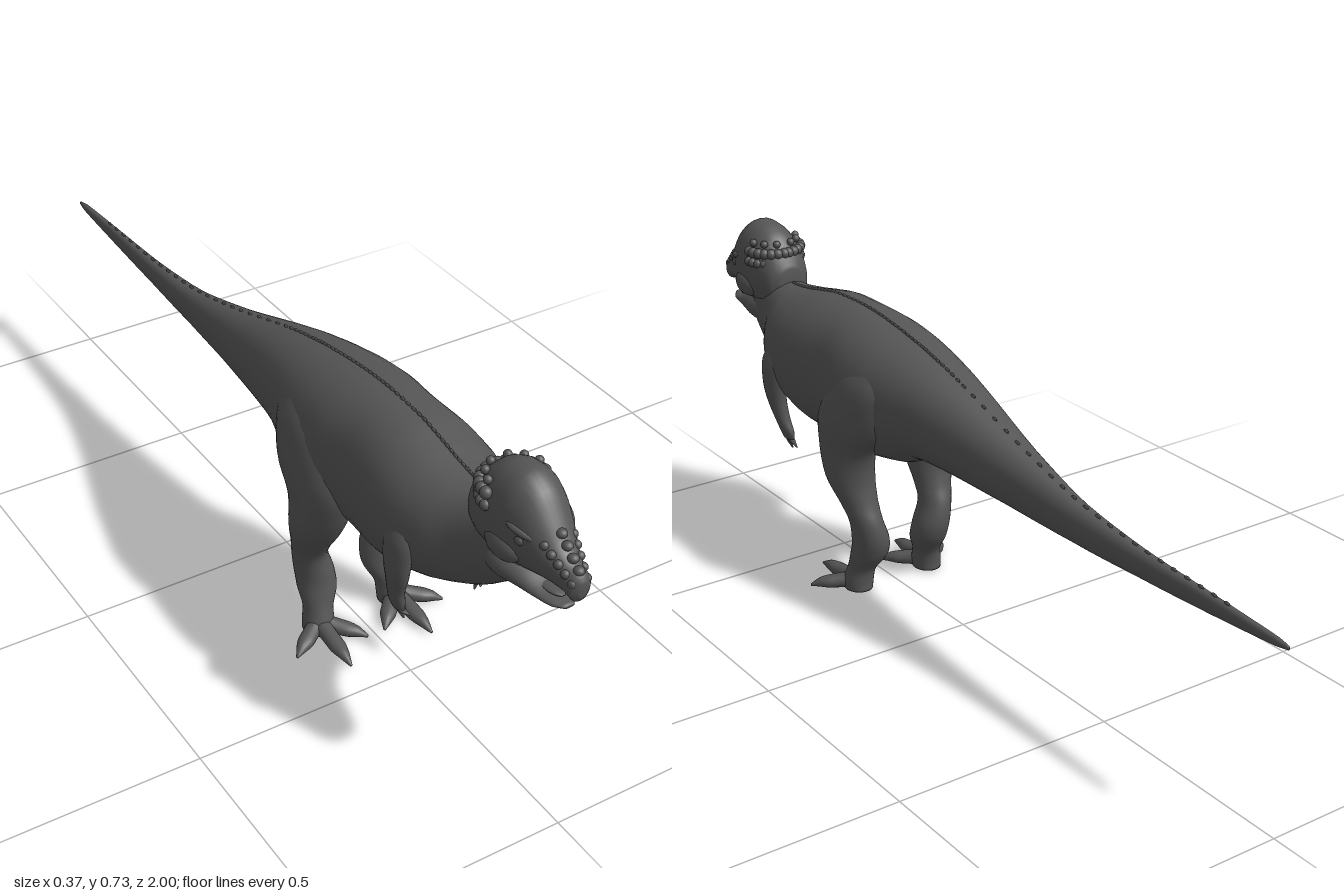
import * as THREE from 'three';

const hide = new THREE.MeshStandardMaterial({ color: 0x555555 });
hide.name = 'dark grey hide';

// Smooth curve through cross-sections [cx, cy, cz, radiusX, radiusV]
function sampler(sections) {
  const centres = new THREE.CatmullRomCurve3(sections.map(s => new THREE.Vector3(s[0], s[1], s[2])));
  const radii = new THREE.CatmullRomCurve3(sections.map(s => new THREE.Vector3(s[3], s[4], 0)));
  return t => ({ c: centres.getPoint(t), r: radii.getPoint(t) });
}

// Skin over elliptical rings: 'z' rings face +z (z rising), 'y' rings lie flat (y falling)
function loft(sections, axis, power = 1, sides = 28, step = 4) {
  const at = sampler(sections), rows = (sections.length - 1) * step;
  const pos = [], index = [];
  const bend = v => Math.sign(v) * Math.abs(v) ** power;
  for (let i = 0; i <= rows; i++) {
    const { c, r } = at(i / rows);
    for (let j = 0; j < sides; j++) {
      const a = j / sides * Math.PI * 2;
      const u = bend(Math.cos(a)) * Math.max(r.x, 0.001), v = bend(Math.sin(a)) * Math.max(r.y, 0.001);
      pos.push(c.x + u, c.y + (axis === 'z' ? v : 0), c.z + (axis === 'y' ? v : 0));
      if (i < rows) {
        const p = i * sides + j, q = i * sides + (j + 1) % sides;
        index.push(p, q, p + sides, q, q + sides, p + sides);
      }
    }
  }
  // Closed ends
  const first = at(0).c, last = at(1).c, n = (rows + 1) * sides;
  pos.push(...first.toArray(), ...last.toArray());
  for (let j = 0; j < sides; j++) {
    const k = (j + 1) % sides;
    index.push(n, k, j, n + 1, rows * sides + j, rows * sides + k);
  }
  const g = new THREE.BufferGeometry();
  g.setAttribute('position', new THREE.Float32BufferAttribute(pos, 3));
  g.setIndex(index);
  g.computeVertexNormals();
  return g;
}

// Profile rows [z, top, bottom, halfWidth] to sections
const fromProfile = rows => rows.map(([z, t, b, w]) => [0, (t + b) / 2, z, w, (t - b) / 2]);

function add(parent, name, geometry) {
  const m = new THREE.Mesh(geometry, hide);
  m.name = name;
  parent.add(m);
  return m;
}

const ball = new THREE.SphereGeometry(1, 14, 10);
function blob(parent, name, x, y, z, rx, ry = rx, rz = rx) {
  const m = add(parent, name, ball);
  m.position.set(x, y, z);
  m.scale.set(rx, ry, rz);
  return m;
}

export function createModel() {
  const model = new THREE.Group();
  model.name = 'domeHeadedDinosaur';

  // Tail, trunk and neck in one skin
  const body = fromProfile([
    [-1, 0.409, 0.401, 0.003], [-0.97, 0.414, 0.396, 0.007], [-0.8, 0.424, 0.384, 0.012],
    [-0.6, 0.434, 0.375, 0.019], [-0.4, 0.458, 0.37, 0.031], [-0.2, 0.51, 0.374, 0.056],
    [0, 0.575, 0.378, 0.09], [0.1, 0.602, 0.372, 0.108], [0.16, 0.616, 0.345, 0.122],
    [0.24, 0.63, 0.328, 0.135], [0.32, 0.64, 0.318, 0.138], [0.4, 0.644, 0.318, 0.13],
    [0.5, 0.64, 0.322, 0.137], [0.58, 0.625, 0.342, 0.135], [0.65, 0.612, 0.364, 0.115],
    [0.7, 0.608, 0.384, 0.084], [0.75, 0.61, 0.413, 0.062], [0.8, 0.61, 0.455, 0.052],
    [0.85, 0.6, 0.5, 0.035],
  ]);
  add(model, 'body', loft(body, 'z', 0.92, 40));

  // Fine ridge of scales along the back
  const along = sampler(body), ridge = new THREE.Group();
  ridge.name = 'backRidge';
  model.add(ridge);
  for (let i = 0; i < 70; i++) {
    const { c, r } = along(0.1 + i / 70 * 0.74);
    blob(ridge, 'ridgeScale', 0, c.y + r.y, c.z, 0.003, 0.005, 0.008);
  }

  // Head
  const head = new THREE.Group();
  head.name = 'head';
  model.add(head);
  add(head, 'skull', loft(fromProfile([
    [0.708, 0.64, 0.575, 0.03], [0.725, 0.675, 0.54, 0.053], [0.76, 0.712, 0.525, 0.065],
    [0.8, 0.731, 0.522, 0.068], [0.84, 0.733, 0.528, 0.067], [0.88, 0.711, 0.537, 0.058],
    [0.91, 0.674, 0.545, 0.048], [0.94, 0.634, 0.55, 0.036], [0.97, 0.61, 0.55, 0.027],
    [0.99, 0.602, 0.542, 0.023], [1, 0.588, 0.556, 0.01],
  ]), 'z', 0.95, 32));
  add(head, 'lowerJaw', loft(fromProfile([
    [0.75, 0.57, 0.48, 0.045], [0.81, 0.565, 0.484, 0.06], [0.87, 0.545, 0.495, 0.048],
    [0.91, 0.527, 0.499, 0.036], [0.945, 0.52, 0.502, 0.026], [0.967, 0.517, 0.509, 0.012],
  ]), 'z'));
  blob(head, 'tongue', 0, 0.524, 0.91, 0.018, 0.006, 0.04);

  for (const s of [1, -1]) {
    blob(head, 'cheek', s * 0.046, 0.583, 0.83, 0.028, 0.032, 0.05);
    blob(head, 'eye', s * 0.054, 0.624, 0.879, 0.008, 0.01, 0.012);
    const brow = blob(head, 'brow', s * 0.05, 0.642, 0.878, 0.012, 0.009, 0.034);
    brow.rotation.set(0.25, -s * 0.35, 0);
    // Two rows of knobs around the back of the skull
    for (let i = 0; i < 7; i++) {
      const a = i / 6 * 1.5;
      const x = s * 0.065 * Math.sin(a + 0.08), z = 0.79 - 0.062 * Math.cos(a + 0.08);
      blob(head, 'skullKnob', x, 0.675, z, 0.0125);
      blob(head, 'skullKnob', x * 1.02, 0.65, z + 0.002, 0.011);
      if (i % 2) blob(head, 'skullKnob', x * 0.9, 0.696, z + 0.008, 0.009);
    }
    // Knobs and nostril rims on the snout
    for (let i = 0; i < 5; i++)
      blob(head, 'snoutKnob', s * (0.032 - i * 0.004), 0.632 - i * 0.012, 0.922 + i * 0.016, 0.009);
  }
  for (let i = 0; i < 4; i++)
    blob(head, 'snoutKnob', 0, 0.65 - i * 0.0155, 0.928 + i * 0.018, 0.011, 0.009, 0.011);

  for (const s of [1, -1]) {
    const side = s > 0 ? 'left' : 'right';
    const limb = (rows, ...rest) => loft(rows.map(([x, ...r]) => [s * x, ...r]), 'y', ...rest);

    // Hind leg from hip to ankle
    add(model, side + 'HindLeg', limb([
      [0.07, 0.59, 0.23, 0.02, 0.04], [0.09, 0.52, 0.245, 0.05, 0.1], [0.099, 0.43, 0.278, 0.059, 0.118],
      [0.104, 0.36, 0.302, 0.055, 0.086], [0.106, 0.29, 0.292, 0.054, 0.062], [0.1, 0.23, 0.266, 0.042, 0.046],
      [0.094, 0.19, 0.249, 0.037, 0.043], [0.083, 0.14, 0.248, 0.042, 0.046], [0.081, 0.1, 0.258, 0.043, 0.043],
      [0.09, 0.055, 0.279, 0.032, 0.034], [0.094, 0.025, 0.286, 0.034, 0.036], [0.095, 0.005, 0.286, 0.032, 0.036],
    ]));

    // Foot with three spread toes
    const foot = new THREE.Group();
    foot.name = side + 'Foot';
    foot.position.set(s * 0.096, 0, 0.29);
    model.add(foot);
    for (const [angle, len] of [[0.97, 0.107], [0.04, 0.14], [-0.75, 0.11]]) {
      const toe = add(foot, 'toe', loft([
        [0, 0.024, 0, 0.02, 0.021], [0, 0.019, len * 0.35, 0.018, 0.017], [0, 0.016, len * 0.6, 0.018, 0.015],
        [0, 0.014, len * 0.8, 0.012, 0.011], [0, 0.007, len, 0.003, 0.003],
      ], 'z', 1, 16));
      toe.rotation.y = s * angle;
    }

    // Small fore limb with three fingers
    add(model, side + 'Arm', limb([
      [0.105, 0.51, 0.595, 0.015, 0.03], [0.115, 0.465, 0.602, 0.024, 0.04], [0.117, 0.41, 0.602, 0.024, 0.034],
      [0.114, 0.37, 0.599, 0.021, 0.027], [0.107, 0.325, 0.588, 0.017, 0.02], [0.1, 0.295, 0.582, 0.014, 0.022],
      [0.095, 0.275, 0.582, 0.01, 0.018],
    ], 1, 20));
    for (const [z, y] of [[0.605, 0.265], [0.586, 0.245], [0.565, 0.252]])
      add(model, side + 'Finger', limb([
        [0.1, 0.3, 0.584, 0.008, 0.009], [0.095, 0.275, (z + 0.583) / 2, 0.008, 0.008], [0.085, y, z, 0.002, 0.002],
      ], 1, 12));
  }
  return model;
}
